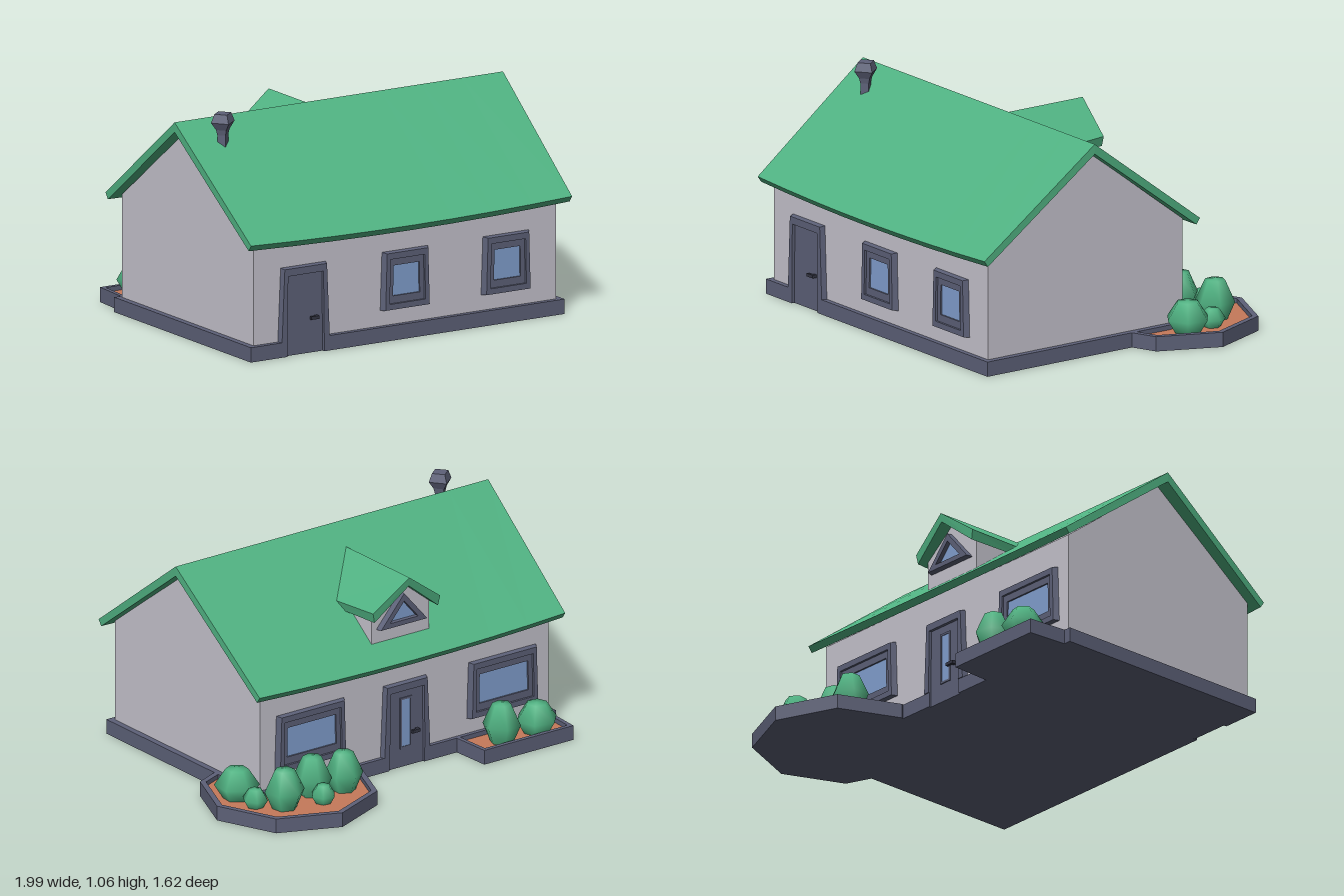
import * as THREE from 'three';

const paint = (name, color) => {
  const m = new THREE.MeshStandardMaterial({ color });
  m.name = name;
  return m;
};

// Skin a row of cross-sections; closed rows join end to start, open rows get caps. Faces point outward.
function loft(sections, closed = false) {
  const tris = [], n = sections[0].length, count = sections.length;
  for (let i = 0; i < (closed ? count : count - 1); i++) {
    const a = sections[i], b = sections[(i + 1) % count];
    for (let j = 0; j < n; j++) {
      const k = (j + 1) % n;
      tris.push([a[j], b[j], b[k]], [a[j], b[k], a[k]]);
    }
  }
  if (!closed) {
    const a = sections[0], b = sections[count - 1];
    for (let j = 1; j < n - 1; j++) tris.push([a[0], a[j], a[j + 1]], [b[0], b[j + 1], b[j]]);
  }
  const v = (p) => new THREE.Vector3(...p);
  const volume = tris.reduce((s, [a, b, c]) => s + v(a).dot(v(b).cross(v(c))), 0);
  if (volume < 0) tris.forEach((t) => t.reverse());
  const g = new THREE.BufferGeometry();
  g.setAttribute('position', new THREE.Float32BufferAttribute(tris.flat(2), 3));
  g.computeVertexNormals();
  return g;
}

// Horizontal slab from an outline of [x, z] points
function slab(pts, y0, y1) {
  const shape = new THREE.Shape(pts.map(([x, z]) => new THREE.Vector2(x, -z)));
  return new THREE.ExtrudeGeometry(shape, { depth: y1 - y0, bevelEnabled: false })
    .rotateX(-Math.PI / 2).translate(0, y0, 0);
}

// Raised frame: tapered outside, straight inside
const frame = (back, front, inner, depth, closed = true) => loft(back.map((p, i) => [
  [...p, -0.01], [...front[i], depth], [...inner[i], depth], [...inner[i], -0.01],
]), closed);

// Four corners, starting at the bottom left and going over the top
const corners = (bottom, top, y0, y1) => [[-bottom, y0], [-top, y1], [top, y1], [bottom, y0]];
const triangle = (half, y0, y1) => [[-half, y0], [0, y1], [half, y0]];

export function createModel() {
  const house = new THREE.Group();
  house.name = 'house';
  const green = paint('green', 0x50b282);
  const wall = paint('wall grey', 0xc6c4ce);
  const slate = paint('slate', 0x5d6178);
  const soil = paint('soil', 0xc67a5a);
  const glass = paint('glass', 0x82a0d0);
  const dark = paint('dark metal', 0x343644);

  const add = (parent, name, geometry, material) => {
    const m = new THREE.Mesh(geometry, material);
    m.name = name;
    parent.add(m);
    return m;
  };
  const group = (name, x, z, facesBack) => {
    const g = new THREE.Group();
    g.name = name;
    g.position.set(x, 0, z);
    if (facesBack) g.rotation.y = Math.PI;
    house.add(g);
    return g;
  };
  const pane = (parent, pts, z) => add(parent, 'glass',
    new THREE.ShapeGeometry(new THREE.Shape(pts.map((p) => new THREE.Vector2(...p)))).translate(0, 0, z), glass);

  // Foundation, notched at both doors
  add(house, 'foundation', slab([
    [-0.96, 0.76], [-0.76, 0.76], [-0.76, 0.738], [-0.56, 0.738], [-0.56, 0.76], [0.75, 0.76],
    [0.75, -0.39], [-0.005, -0.39], [-0.005, -0.373], [-0.205, -0.373], [-0.205, -0.39], [-0.96, -0.39],
  ], 0, 0.07), slate);

  // Gabled walls
  const gable = [[0.07, 0.735], [0.555, 0.735], [0.972, 0.18], [0.555, -0.37], [0.07, -0.37]];
  add(house, 'walls', loft([-0.93, 0.72].map((x) => gable.map(([y, z]) => [x, y, z]))), wall);

  // Main roof: two panels whose eaves bow outward and down in the middle
  for (const side of [1, -1]) {
    const sections = [];
    for (let i = 0; i <= 8; i++) {
      const t = i / 4 - 1, bow = 0.015 * (1 - t * t);
      const xr = -0.105 + 0.895 * t, xe = -0.105 + 0.875 * t;
      sections.push([
        [xr, 1.017, 0.18], [xe, 0.558 - bow, 0.18 + side * (0.612 + bow)],
        [xe, 0.53 - bow, 0.18 + side * (0.592 + bow)], [xr, 0.97, 0.18],
      ]);
    }
    add(house, side > 0 ? 'frontRoof' : 'backRoof', loft(sections), green);
  }

  // Dormer on the back slope
  const dormer = group('dormer', -0.105, 0);
  const dormerEnd = [[-0.165, 0.6], [-0.165, 0.772], [0, 0.897], [0.165, 0.772], [0.165, 0.6]];
  add(dormer, 'dormerWalls', loft([-0.34, -0.02].map((z) => dormerEnd.map(([x, y]) => [x, y, z]))), wall);
  for (const s of [1, -1]) {
    add(dormer, 'dormerRoof', loft([
      [[0, 0.935, -0.41], [s * 0.192, 0.795, -0.388], [s * 0.182, 0.748, -0.385], [0, 0.893, -0.405]],
      [[0, 0.935, 0.075], [s * 0.208, 0.782, -0.12], [s * 0.198, 0.742, -0.12], [0, 0.893, 0.075]],
    ]), green);
  }
  const gableWindow = group('dormerWindow', -0.105, -0.34, true);
  add(gableWindow, 'frame', frame(triangle(0.14, 0.69, 0.85), triangle(0.132, 0.692, 0.845),
    triangle(0.08, 0.715, 0.808), 0.03), slate);
  pane(gableWindow, triangle(0.08, 0.715, 0.808), 0.008);

  // Chimney pot
  const pot = [[0.028, 0.85], [0.028, 0.96], [0.035, 0.985], [0.06, 1.02], [0.043, 1.06], [0, 1.06]];
  const sides = [0, 1, 2, 3].map((i) => (i * Math.PI) / 2 + 0.12);
  add(house, 'chimney', loft(pot.map(([r, y]) =>
    sides.map((a) => [-0.815 + r * Math.cos(a), y, 0.3 + r * Math.sin(a)]))), slate);

  // Windows: outer frame, stepped inner frame and pane; w widens them
  const windows = [[-0.105, 0.735, 0], [0.445, 0.735, 0], [0.435, -0.37, 0.068], [-0.665, -0.37, 0.068]];
  for (const [x, z, w] of windows) {
    const g = group('window', x, z, z < 0);
    const rim = corners(0.097 + w, 0.093 + w, 0.172, 0.383);
    const opening = corners(0.073 + w, 0.07 + w, 0.207, 0.35);
    add(g, 'frame', frame(corners(0.14 + w, 0.13 + w, 0.142, 0.418),
      corners(0.12 + w, 0.112 + w, 0.145, 0.412), rim, 0.025), slate);
    add(g, 'innerFrame', frame(rim, rim, opening, 0.014), slate);
    pane(g, opening, 0.006);
  }

  // Doors
  for (const [x, z] of [[-0.66, 0.735], [-0.105, -0.37]]) {
    const g = group(z > 0 ? 'frontDoor' : 'backDoor', x, z, z < 0);
    add(g, 'frame', frame(corners(0.14, 0.125, 0.07, 0.418), corners(0.13, 0.115, 0.07, 0.412),
      corners(0.1, 0.096, 0.07, 0.378), 0.025, false), slate);
    add(g, 'panel', new THREE.BoxGeometry(0.198, 0.38, 0.03).translate(0, 0.19, -0.005), slate);
    add(g, 'handle', new THREE.BoxGeometry(0.045, 0.015, 0.012).translate(0.047, 0.166, 0.026), dark);
    add(g, 'handleStem', new THREE.BoxGeometry(0.015, 0.015, 0.014).translate(0.062, 0.166, 0.015), dark);
    if (z < 0) {
      const opening = corners(0.024, 0.024, 0.1, 0.33), trim = corners(0.034, 0.034, 0.09, 0.34);
      add(g, 'paneTrim', frame(trim, trim, opening, 0.015), slate);
      pane(g, opening, 0.012);
    }
  }

  // Planters: floor, raised rim and soil
  const planter = (name, outline, cx, cz, kx, kz) => {
    const g = group(name, 0, 0);
    const inner = outline.map(([x, z]) => [cx + (x - cx) * kx, cz + (z - cz) * kz]);
    add(g, 'floor', slab(outline, 0, 0.04), slate);
    add(g, 'rim', loft(outline.map(([x, z], i) => {
      const [u, v] = inner[i];
      return [[x, 0, z], [x, 0.07, z], [u, 0.07, v], [u, 0.02, v]];
    }), true), slate);
    add(g, 'soil', slab(inner, 0.04, 0.048), soil);
  };
  const octagon = Array.from({ length: 8 }, (_, i) =>
    [0.58 + 0.41 * Math.cos((i * Math.PI) / 4), -0.4 - 0.41 * Math.sin((i * Math.PI) / 4)]);
  planter('cornerPlanter', octagon, 0.58, -0.4, 0.93, 0.93);
  planter('backPlanter', [[-0.925, -0.375], [-0.39, -0.375], [-0.4, -0.587], [-0.91, -0.587]],
    -0.657, -0.375, 0.925, 0.9);

  // Bushes: x, z, radius, top height
  const bushes = [
    [0.37, -0.54, 0.09, 0.24], [0.54, -0.61, 0.06, 0.137], [0.52, -0.5, 0.09, 0.24],
    [0.72, -0.555, 0.095, 0.24], [0.82, -0.465, 0.062, 0.137], [0.82, -0.325, 0.105, 0.195],
    [-0.765, -0.5, 0.1, 0.195], [-0.565, -0.5, 0.09, 0.24],
  ];
  const bushProfile = [[0.6, 0], [1, 0.45], [0.5, 0.97], [0, 1]].map((p) => new THREE.Vector2(...p));
  bushes.forEach(([x, z, r, top], i) => {
    const bush = add(house, 'bush', new THREE.LatheGeometry(bushProfile, 6), green);
    bush.scale.set(r, top - 0.045, r);
    bush.position.set(x, 0.045, z);
    bush.rotation.y = i * 0.4;
  });

  return house;
}
